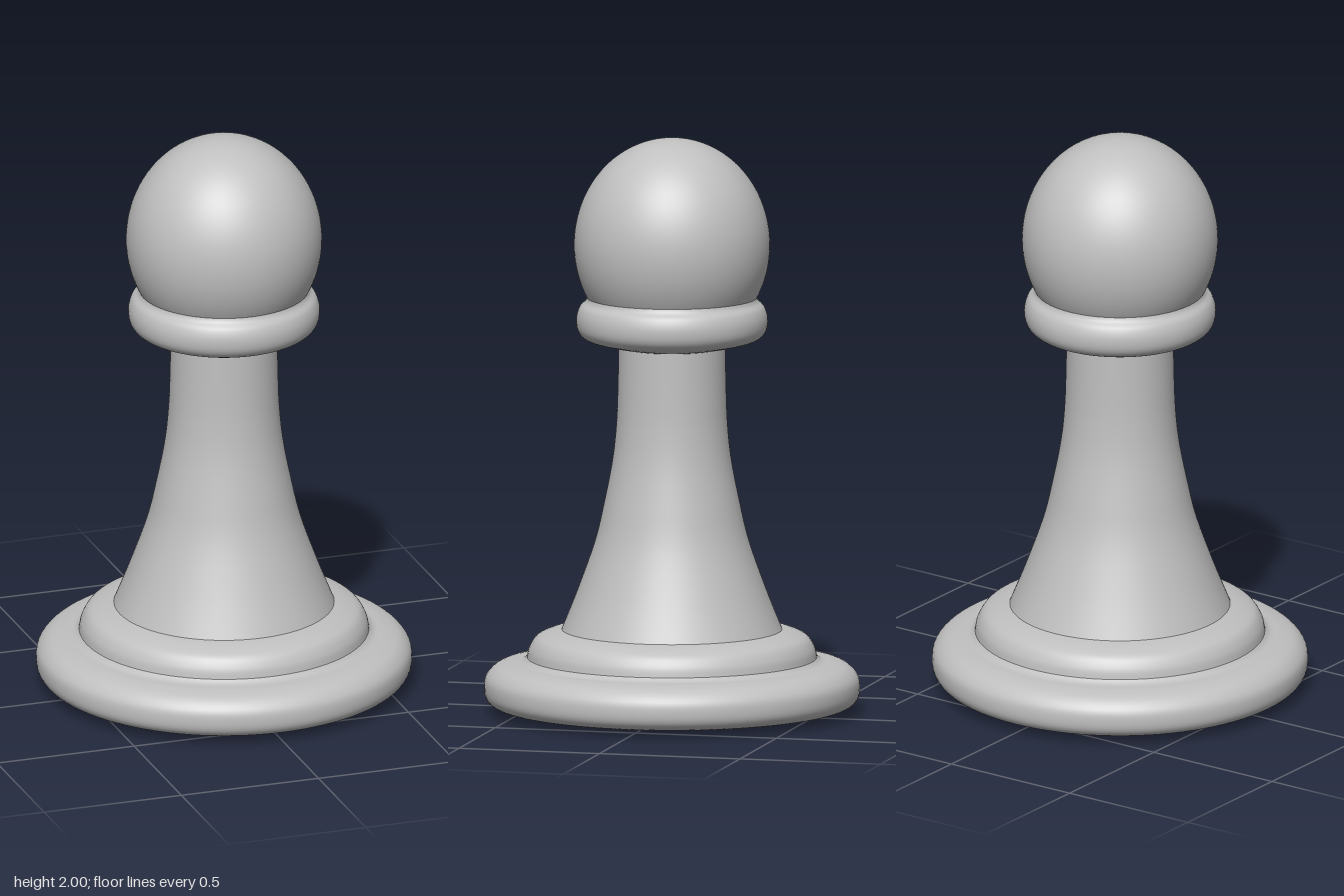
import * as THREE from 'three';

const SEGMENTS = 96;

export function createModel() {
  const pawn = new THREE.Group();
  pawn.name = 'pawn';
  // The body is a hollow shell with an opening underneath
  const grey = new THREE.MeshStandardMaterial({ color: 0xc0c0c0, side: THREE.DoubleSide });
  grey.name = 'light grey';

  // Turn a smooth [radius, height] profile, listed from bottom to top
  function turned(name, profile, divisions) {
    const points = profile.map(([r, y]) => new THREE.Vector2(r, y));
    const smooth = new THREE.SplineCurve(points).getPoints(divisions);
    const mesh = new THREE.Mesh(new THREE.LatheGeometry(smooth, SEGMENTS), grey);
    mesh.name = name;
    pawn.add(mesh);
  }

  // Slightly domed underside with a small central hole
  turned('underside', [[0.05, 0], [0.25, 0.004], [0.4, 0.009], [0.55, 0.018]], 8);

  // Rounded foot
  turned('foot', [
    [0.55, 0.018], [0.615, 0.03], [0.643, 0.057], [0.648, 0.1],
    [0.638, 0.133], [0.607, 0.162], [0.56, 0.176], [0.52, 0.181], [0.5, 0.194],
  ], 40);

  // Smaller step above the foot
  turned('step', [
    [0.5, 0.194], [0.492, 0.228], [0.468, 0.263], [0.425, 0.282], [0.38, 0.292],
  ], 24);

  // Flared stem
  turned('stem', [
    [0.38, 0.292], [0.325, 0.43], [0.265, 0.6], [0.232, 0.74],
    [0.205, 0.88], [0.192, 1.0], [0.187, 1.12], [0.184, 1.275],
  ], 36);

  // Rounded collar
  turned('collar', [
    [0.184, 1.275], [0.245, 1.288], [0.3, 1.305], [0.325, 1.333],
    [0.33, 1.375], [0.319, 1.412], [0.298, 1.434], [0.29, 1.455],
  ], 36);

  // Egg-shaped head, open where it meets the collar
  const head = new THREE.Mesh(
    new THREE.SphereGeometry(1, SEGMENTS, 48, 0, Math.PI * 2, 0, Math.PI * 0.665), grey);
  head.name = 'head';
  head.scale.set(0.338, 0.37, 0.338);
  head.position.y = 1.63;
  pawn.add(head);

  return pawn;
}
